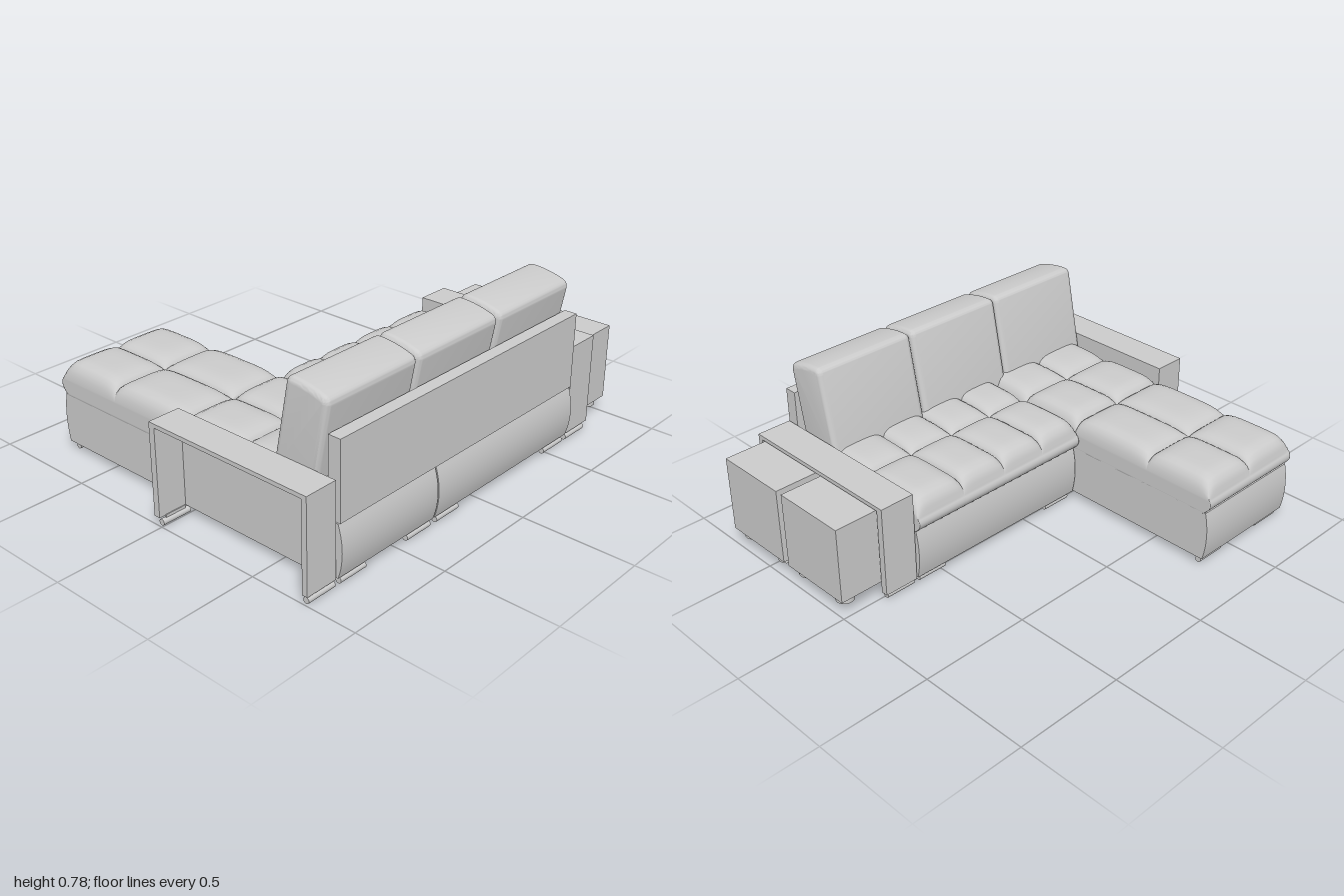
import * as THREE from 'three';
import { mergeVertices, toCreasedNormals } from 'three/addons/utils/BufferGeometryUtils.js';

const material = new THREE.MeshStandardMaterial({ color: 0xcccccc });

export function createModel() {
  const sofa = new THREE.Group();
  sofa.name = 'cornerSofa';

  const add = (name, geometry, parent = sofa) => {
    const mesh = new THREE.Mesh(geometry, material);
    mesh.name = name;
    parent.add(mesh);
    return mesh;
  };

  // Box given by its two extreme corners
  const box = (name, x0, x1, y0, y1, z0, z1, parent) =>
    add(name, new THREE.BoxGeometry(x1 - x0, y1 - y0, z1 - z0), parent)
      .position.set((x0 + x1) / 2, (y0 + y1) / 2, (z0 + z1) / 2);

  // Side profile (z, y) extruded across x, optionally with rounded ends
  const extrudeX = (name, shape, x0, x1, bevel = 0) => {
    const g = new THREE.ExtrudeGeometry(shape, {
      depth: x1 - x0 - 2 * bevel, curveSegments: 10, bevelEnabled: bevel > 0,
      bevelSize: bevel, bevelThickness: bevel, bevelOffset: -bevel, bevelSegments: 6,
    });
    g.rotateY(-Math.PI / 2).translate(x1 - bevel, 0, 0);
    return add(name, toCreasedNormals(g, 0.6));
  };

  // Tufted pad: a box whose columns and rows follow the seams in xs and zs.
  // Each cell puffs up, and the outer rim rolls over at the front and sides.
  const tuftedPad = (name, xs, zs, { top = 0.42, sides = 0.05, front = 0.07 } = {}) => {
    const S = 14, y0 = 0.26, rim = 0.335, seam = 0.378;
    const nx = xs.length - 1, nz = zs.length - 1;
    const g = new THREE.BoxGeometry(1, 1, 1, nx * S, 10, nz * S);
    const locate = (p, edges, n) => {
      const k = Math.round((p + 0.5) * n * S);
      const cell = Math.min(Math.floor(k / S), n - 1);
      const u = Math.sin(((k - cell * S) / S - 0.5) * Math.PI);
      const a = edges[cell], b = edges[cell + 1];
      return { at: (a + b) / 2 + u * (b - a) / 2, puff: Math.sqrt(Math.max(0, 1 - u ** 4)) };
    };
    const round = (d, r) => {
      const t = Math.min(1, Math.max(0, d / r));
      return Math.sqrt(1 - (1 - t) ** 2);
    };
    const pos = g.attributes.position;
    for (let i = 0; i < pos.count; i++) {
      const X = locate(pos.getX(i), xs, nx), Z = locate(pos.getZ(i), zs, nz);
      const s = pos.getY(i) + 0.5;
      const roll = round(Math.min(X.at - xs[0], xs[nx] - X.at), sides) * round(Z.at - zs[0], front);
      const height = rim + (seam - rim) * roll + (top - seam) * X.puff * Z.puff;
      // the lower front tucks in under the overhanging roll
      const nearFront = 1 - Math.min(1, (Z.at - zs[0]) / 0.08);
      const tuck = 0.035 * nearFront * Math.pow(Math.abs(s - 0.65) / 0.65, 2);
      pos.setXYZ(i, X.at, y0 + s * (height - y0), Z.at + tuck);
    }
    g.deleteAttribute('normal');
    g.deleteAttribute('uv');
    const smooth = mergeVertices(g, 1e-5);
    smooth.computeVertexNormals();
    return add(name, smooth);
  };

  // Plinth bodies with gently bulging front and rear faces
  const bodyShape = (front, back) => {
    const s = new THREE.Shape();
    s.moveTo(front, 0.035);
    s.lineTo(back, 0.035);
    s.quadraticCurveTo(back + 0.04, 0.15, back, 0.265);
    s.lineTo(front, 0.265);
    s.quadraticCurveTo(front - 0.03, 0.15, front, 0.035);
    return s;
  };
  extrudeX('chaiseBase', bodyShape(-0.775, 0.775), -0.838, -0.286);
  extrudeX('seatBase', bodyShape(-0.035, 0.775), -0.28, 0.64);

  // Seat padding
  tuftedPad('chaisePad', [-0.84, -0.563, -0.286], [-0.795, -0.45, -0.04]);
  tuftedPad('chaiseSeatPad', [-0.845, -0.565, -0.288], [-0.06, 0.278, 0.7]);
  tuftedPad('seatPad', [-0.283, -0.065, 0.16, 0.39, 0.643], [-0.065, 0.278, 0.7]);

  // Backrest board
  box('backrestBoard', -0.832, 0.645, 0.265, 0.605, 0.722, 0.78);

  // Leaning back cushions
  const cushion = new THREE.Shape();
  cushion.moveTo(0.461, 0.38);
  cushion.lineTo(0.672, 0.38);
  cushion.lineTo(0.733, 0.71);
  cushion.quadraticCurveTo(0.738, 0.738, 0.712, 0.75);
  cushion.quadraticCurveTo(0.64, 0.775, 0.565, 0.777);
  cushion.quadraticCurveTo(0.537, 0.777, 0.532, 0.75);
  cushion.closePath();
  for (const [x0, x1] of [[-0.85, -0.356], [-0.351, 0.143], [0.15, 0.644]]) {
    extrudeX('backCushion', cushion, x0, x1, 0.025);
  }

  // Hollow armrests, open on the outer side
  const armrest = (name, inner, outer) => {
    const arm = new THREE.Group();
    arm.name = name;
    sofa.add(arm);
    const side = Math.sign(outer);
    const [x0, x1] = [Math.min(inner, outer), Math.max(inner, outer)];
    box('armTop', x0, x1, 0.432, 0.45, -0.04, 0.775, arm);
    box('armFrontPanel', x0, x1, 0.037, 0.432, -0.04, -0.01, arm);
    box('armRearPanel', x0, x1, 0.037, 0.432, 0.75, 0.775, arm);
    const lining = inner + side * 0.015;
    box('armInnerPanel', Math.min(inner, lining), Math.max(inner, lining), 0.037, 0.432, -0.01, 0.75, arm);
  };
  armrest('leftArmrest', 0.65, 0.81);
  armrest('rightArmrest', -0.85, -1);

  // Pull-out stools partly stored in the left armrest
  for (const z of [0.18, 0.565]) {
    const stool = new THREE.Group();
    stool.name = 'stool';
    sofa.add(stool);
    box('stoolBody', 0.668, 1, 0.077, 0.425, z - 0.176, z + 0.176, stool);
    for (const x of [0.725, 0.943]) {
      for (const dz of [-0.12, 0.12]) {
        add('stoolFoot', new THREE.CylinderGeometry(0.04, 0.04, 0.035, 24), stool)
          .position.set(x, 0.06, z + dz);
      }
    }
  }

  // Horizontal roller feet
  const feet = [
    [0.76, [-0.92, -0.75, -0.37, -0.19, 0.55, 0.72]],
    [-0.01, [-0.92, -0.19, 0.55, 0.72]],
    [-0.745, [-0.75, -0.37]],
  ];
  for (const [z, xs] of feet) {
    for (const x of xs) {
      const foot = add('rollerFoot', new THREE.CylinderGeometry(0.014, 0.014, 0.14, 16).rotateZ(Math.PI / 2));
      foot.position.set(x, 0.014, z);
      // short stem up to the body
      box('footStem', x - 0.05, x + 0.05, 0.02, 0.04, z - 0.004, z + 0.004);
    }
  }

  return sofa;
}
